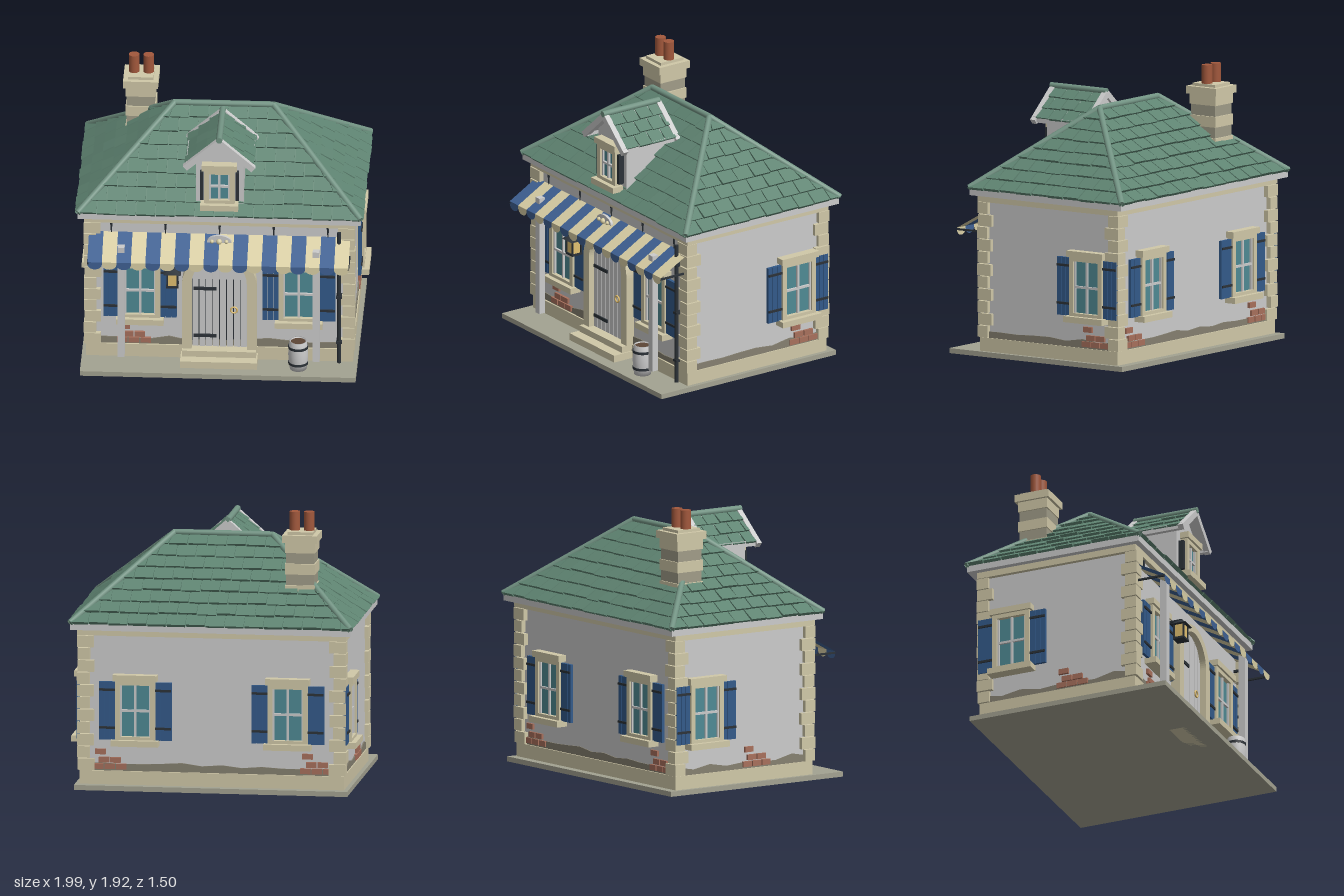
import * as THREE from 'three';
import { ConvexGeometry } from 'three/addons/geometries/ConvexGeometry.js';

const mat = (color, side = THREE.FrontSide) => new THREE.MeshStandardMaterial({ color, side });
const GREY = mat(0xcccccc), STONE = mat(0xd0c8a8), STONE2 = mat(0xa09c88), SLAB = mat(0xa3a291);
const BLUE = mat(0x335a8a), GLASS = mat(0x4f8a94), IRON = mat(0x2c3238), BRICK = mat(0xa8705c);
const TILE = mat(0x5f8472), CAP = mat(0x729383), POT = mat(0xa2583c), MOSS = mat(0x858070);
const GOLD = mat(0xe2c070), WOOD = mat(0x5d4636), CREAM = mat(0xd9cfa5, THREE.DoubleSide);
const AWN_BLUE = mat(0x3f6193, THREE.DoubleSide), AWN_CREAM = CREAM;
TILE.flatShading = true;

const V = (x, y, z) => new THREE.Vector3(x, y, z);
let seed = 7;
const rnd = () => (seed = (seed * 16807) % 2147483647) / 2147483647;

function add(parent, name, geo, m, x = 0, y = 0, z = 0) {
  const mesh = new THREE.Mesh(geo, m);
  mesh.name = name;
  mesh.position.set(x, y, z);
  parent.add(mesh);
  return mesh;
}
const group = (parent, name) => { const g = new THREE.Group(); g.name = name; parent.add(g); return g; };
// box given by its extents
const box = (p, name, m, x0, x1, y0, y1, z0, z1) =>
  add(p, name, new THREE.BoxGeometry(x1 - x0, y1 - y0, z1 - z0), m, (x0 + x1) / 2, (y0 + y1) / 2, (z0 + z1) / 2);
const cyl = (p, name, m, r0, r1, h, x, y, z, n = 20) => add(p, name, new THREE.CylinderGeometry(r0, r1, h, n), m, x, y, z);
function rod(p, name, m, a, b, r) {
  const d = b.clone().sub(a), mid = a.clone().lerp(b, 0.5);
  cyl(p, name, m, r, r, d.length(), mid.x, mid.y, mid.z, 12).quaternion.setFromUnitVectors(V(0, 1, 0), d.normalize());
}
const extrude = (shape, depth) => new THREE.ExtrudeGeometry(shape, { depth, bevelEnabled: false, curveSegments: 20 });

// Overlapping tiles on a planar slope; corners run bottom left, bottom right, top right, top left
function tiles(p, name, A, B, C, D, rows, width, thick) {
  const u = B.clone().sub(A).normalize(), up = D.clone().sub(A);
  const n = u.clone().cross(up).normalize(), v = n.clone().cross(u);
  const len = up.dot(v), uB = B.clone().sub(A).dot(u), uC = C.clone().sub(A).dot(u), uD = up.dot(u), pos = [];
  const at = (s, t, h) => A.clone().addScaledVector(u, s).addScaledVector(v, t).addScaledVector(n, h);
  const quad = (a, b, c, d) => [a, b, c, a, c, d].forEach(q => pos.push(q.x, q.y, q.z));
  for (let r = 0; r < rows; r++) {
    const t0 = r * len / rows, t1 = Math.min(len, t0 + 1.06 * len / rows);
    const clip = (s, t) => Math.min(Math.max(s, uD * t / len), uB + (uC - uB) * t / len);
    for (let s = -(r % 2) * width / 2; s < uB; s += width) {
      const lift = thick * (0.8 + 0.5 * rnd()), e = s + width - 0.008, drop = t0 - 0.008 * rnd();
      const a = clip(s, t0), b = clip(e, t0), c = clip(e, t1), d = clip(s, t1);
      if (b - a < 0.005 && c - d < 0.005) continue;
      const a1 = at(a, drop, lift), b1 = at(b, drop, lift), c1 = at(c, t1, 0.004), d1 = at(d, t1, 0.004);
      const a0 = at(a, drop, 0), b0 = at(b, drop, 0), c0 = at(c, t1, 0), d0 = at(d, t1, 0);
      quad(a1, b1, c1, d1); quad(a0, b0, b1, a1); quad(b0, c0, c1, b1); quad(d0, a0, a1, d1);
    }
  }
  const g = new THREE.BufferGeometry();
  g.setAttribute('position', new THREE.Float32BufferAttribute(pos, 3));
  g.computeVertexNormals();
  add(p, name, g, TILE);
}

// Framed 2 x 2 window facing +z; w and h are half sizes of the glass
function windowUnit(p, x, y, w, h, f) {
  const g = group(p, 'window');
  g.position.set(x, y, 0);
  box(g, 'glass', GLASS, -w, w, -h, h, 0, 0.02);
  for (const s of [-1, 1]) {
    box(g, 'jamb', STONE, s * (w + f / 2) - f / 2, s * (w + f / 2) + f / 2, -h - f, h + f, 0, 0.05);
    box(g, 'rail', STONE, -w, w, s * (h + f / 2) - f / 2, s * (h + f / 2) + f / 2, 0, 0.05);
    box(g, 'sash', GREY, s * (w - 0.005) - 0.005, s * (w - 0.005) + 0.005, -h, h, 0, 0.035);
  }
  box(g, 'mullion', GREY, -0.008, 0.008, -h, h, 0, 0.035);
  box(g, 'crossbar', GREY, -w, w, -0.008, 0.008, 0, 0.035);
  box(g, 'lintel', STONE, -w - f - 0.015, w + f + 0.015, h + f - 0.005, h + f + 0.038, 0, 0.065);
  box(g, 'sill', STONE, -w - f - 0.025, w + f + 0.025, -h - f - 0.03, -h - f + 0.012, 0, 0.085);
  return g;
}
function shutters(g) {
  for (const s of [-1, 1]) {
    for (let i = 0; i < 3; i++) {
      const c = s * (0.158 + i * 0.038);
      box(g, 'shutterPlank', BLUE, c - 0.018, c + 0.018, -0.205, 0.2, 0.012, 0.034);
    }
    for (const y of [-0.12, 0.145]) box(g, 'shutterStrap', IRON, s * 0.195 - 0.055, s * 0.195 + 0.055, y - 0.008, y + 0.008, 0.03, 0.043);
  }
}
// Worn plaster edge along the wall foot
function wornEdge(p, w) {
  const s = new THREE.Shape([new THREE.Vector2(w / 2, 0.12), new THREE.Vector2(-w / 2, 0.12)]);
  const n = Math.round(w / 0.14);
  for (let i = 0; i <= n; i++) s.lineTo(-w / 2 + w * i / n, 0.16 + 0.035 * rnd());
  add(p, 'wornPlaster', extrude(s, 0.008), MOSS);
}
function brickPatch(p, x) {
  [[-0.07, 0.16], [0.01, 0.16], [0.09, 0.16], [-0.03, 0.205], [0.05, 0.205], [-0.055, 0.262]].forEach(([dx, y]) =>
    box(p, 'exposedBrick', BRICK, x + dx - 0.036, x + dx + 0.036, y - 0.019, y + 0.019, 0, 0.018));
}

export function createModel() {
  const root = new THREE.Group();
  root.name = 'cottage';
  const CZ = -0.075;
  box(root, 'groundSlab', SLAB, -0.95, 0.95, 0, 0.035, -0.72, 0.75);
  box(root, 'plinth', STONE, -0.92, 0.92, 0.035, 0.13, -0.66, 0.51);
  box(root, 'walls', GREY, -0.905, 0.905, 0.13, 1.13, -0.64, 0.49);
  box(root, 'cornice', STONE, -0.935, 0.935, 1.075, 1.13, -0.67, 0.52);
  box(root, 'fascia', GREY, -0.975, 0.975, 1.12, 1.168, -0.73, 0.56);

  // Corner stones
  for (const sx of [-1, 1]) for (const sz of [-1, 1]) for (let i = 0; i < 11; i++) {
    const k = i % 2, lx = k ? 0.085 : 0.115, lz = k ? 0.115 : 0.085, o = 0.006 * rnd(), h = 0.945 / 11;
    const x = sx * (0.93 + o - lx / 2), z = CZ + sz * (0.595 + o - lz / 2), y = 0.13 + i * h;
    box(root, 'quoin', STONE, x - lx / 2, x + lx / 2, y + 0.003, y + h - 0.003, z - lz / 2, z + lz / 2);
  }

  // Wall faces: [name, turn, distance, width, window positions, brick positions]
  [['frontWall', 0, 0.565, 1.8, [-0.547, 0.547], [-0.6]],
    ['rightWall', Math.PI / 2, 0.905, 1.12, [0.335], [0.385]],
    ['backWall', Math.PI, 0.565, 1.8, [-0.53, 0.53], [-0.72, 0.72]],
    ['leftWall', -Math.PI / 2, 0.905, 1.12, [-0.335], [0.1]]].forEach(([name, turn, dist, w, wins, bricks]) => {
    const g = group(root, name);
    g.rotation.y = turn;
    g.position.set(Math.sin(turn) * dist, 0, CZ + Math.cos(turn) * dist);
    wornEdge(g, w);
    bricks.forEach(x => brickPatch(g, x));
    wins.forEach(x => shutters(windowUnit(g, x, 0.555, 0.105, 0.18, 0.034)));
  });

  // Hipped roof
  const roof = group(root, 'roof'), RZ = -0.085, E = 1.165;
  const fl = V(-0.975, E, 0.565), fr = V(0.975, E, 0.565), br = V(0.975, E, -0.735), bl = V(-0.975, E, -0.735);
  const rl = V(-0.34, 1.7, RZ), rr = V(0.34, 1.7, RZ);
  add(roof, 'roofBody', new ConvexGeometry([fl, fr, br, bl, rl, rr]), TILE);
  tiles(roof, 'frontTiles', fl, fr, rr, rl, 8, 0.135, 0.02);
  tiles(roof, 'backTiles', br, bl, rl, rr, 8, 0.135, 0.02);
  tiles(roof, 'rightTiles', fr, br, rr, rr, 8, 0.135, 0.02);
  tiles(roof, 'leftTiles', bl, fl, rl, rl, 8, 0.135, 0.02);
  [[rl, rr], [fl, rl], [bl, rl], [fr, rr], [br, rr]].forEach(([a, b]) =>
    rod(roof, 'ridgeCap', CAP, a.clone().setY(a.y + 0.006), b.clone().setY(b.y + 0.006), 0.022));

  // Dormer
  const dormer = group(root, 'dormer');
  const body = new THREE.Shape([[-0.165, 1.2], [0.165, 1.2], [0.165, 1.59], [0, 1.735], [-0.165, 1.59]].map(q => new THREE.Vector2(...q)));
  add(dormer, 'dormerBody', extrude(body, 0.38), GREY, 0, 0, 0.11);
  for (const s of [-1, 1]) {
    const eF = V(s * 0.225, 1.56, 0.535), eB = V(s * 0.225, 1.56, 0.12), tF = V(0, 1.755, 0.535), tB = V(0, 1.755, 0.12);
    const deck = [eF, eB, tF, tB];
    add(dormer, 'dormerDeck', new ConvexGeometry([...deck, ...deck.map(q => V(q.x, q.y - 0.02, q.z))]), GREY);
    if (s > 0) tiles(dormer, 'dormerTiles', eF, eB, tB, tF, 3, 0.11, 0.016);
    else tiles(dormer, 'dormerTiles', eB, eF, tF, tB, 3, 0.11, 0.016);
    for (const z of [0.553, 0.11]) {
      const barge = add(dormer, 'bargeBoard', new THREE.BoxGeometry(0.315, 0.042, 0.04), GREY, s * 0.118, 1.643, z);
      barge.rotation.z = -s * 0.72;
    }
    box(dormer, 'eaveBoard', GREY, s * 0.215 - 0.015, s * 0.215 + 0.015, 1.535, 1.575, 0.1, 0.56);
    box(dormer, 'dormerSideStrip', IRON, s * 0.122 - 0.012, s * 0.122 + 0.012, 1.275, 1.49, 0.49, 0.53);
  }
  rod(dormer, 'dormerRidge', CAP, V(0, 1.763, 0.1), V(0, 1.763, 0.575), 0.022);
  windowUnit(dormer, 0, 1.383, 0.07, 0.1, 0.036).position.z = 0.495;

  // Chimney
  const chimney = group(root, 'chimney');
  chimney.position.set(-0.585, 0, -0.363);
  for (let i = 0; i < 7; i++) {
    const r = i % 2 ? 0.097 : 0.104, y = 1.2 + i * 0.075;
    box(chimney, 'chimneyCourse', i % 2 ? STONE2 : STONE, -r, r, y, y + 0.074, -r - 0.005, r + 0.005);
  }
  box(chimney, 'chimneyCap', STONE, -0.121, 0.121, 1.722, 1.775, -0.127, 0.127);
  box(chimney, 'chimneyTop', STONE, -0.088, 0.088, 1.775, 1.795, -0.095, 0.095);
  for (const s of [-1, 1]) cyl(chimney, 'chimneyPot', POT, 0.037, 0.037, 0.14, s * 0.05, 1.855, 0);

  // Door with arched surround and steps
  const door = group(root, 'door');
  const arch = new THREE.Shape();
  arch.moveTo(0.257, 0.1).lineTo(0.257, 0.625).absarc(0, 0.625, 0.257, 0, Math.PI, false).lineTo(-0.257, 0.1);
  arch.lineTo(-0.19, 0.1).lineTo(-0.19, 0.64).absarc(0, 0.64, 0.19, Math.PI, 0, true).lineTo(0.19, 0.1);
  add(door, 'doorSurround', extrude(arch, 0.07), STONE, 0, 0, 0.485);
  box(door, 'doorBacking', IRON, -0.19, 0.19, 0.13, 0.64, 0.485, 0.494);
  const top = x => 0.64 + Math.sqrt(Math.max(0, 0.19 ** 2 - x * x));
  for (let i = 0; i < 8; i++) {
    const a = -0.19 + i * 0.0475 + 0.003, b = a + 0.0415;
    const plank = new THREE.Shape([[a, 0.13], [b, 0.13], [b, top(b)], [a, top(a)]].map(q => new THREE.Vector2(...q)));
    add(door, 'doorPlank', extrude(plank, 0.025), GREY, 0, 0, 0.488);
  }
  for (const y of [0.215, 0.58]) box(door, 'hingeStrap', IRON, -0.18, -0.02, y - 0.011, y + 0.011, 0.51, 0.523);
  add(door, 'handleRing', new THREE.TorusGeometry(0.022, 0.006, 8, 20), GOLD, 0.1, 0.42, 0.522);
  box(door, 'lowerStep', STONE, -0.265, 0.265, 0.0, 0.085, 0.48, 0.665);
  box(door, 'upperStep', STONE, -0.255, 0.255, 0.085, 0.13, 0.48, 0.59);

  // Striped awning with scalloped edge, posts and brackets
  const awning = group(root, 'awning');
  const slope = Math.hypot(0.225, 0.125), tilt = Math.atan2(0.225, 0.125);
  for (let i = 0; i < 18; i++) {
    const x = -0.85 + i * 0.1, m = i % 2 ? AWN_CREAM : AWN_BLUE;
    add(awning, 'awningStripe', new THREE.PlaneGeometry(0.1, slope), m, x, 0.9325, 0.6075).rotation.x = -tilt;
    const flap = new THREE.Shape();
    flap.moveTo(-0.05, 0.87).lineTo(-0.05, 0.855).absellipse(0, 0.855, 0.05, 0.04, Math.PI, 2 * Math.PI, false).lineTo(0.05, 0.87);
    add(awning, 'awningScallop', new THREE.ShapeGeometry(flap, 12), m, x, 0, 0.72);
  }
  for (const s of [-1, 1]) {
    box(awning, 'awningArm', IRON, s * 0.897 - 0.006, s * 0.897 + 0.006, 0.853, 0.866, 0.49, 0.72);
    box(awning, 'awningPost', GREY, s * 0.672 - 0.024, s * 0.672 + 0.024, 0.1, 0.95, 0.6, 0.648);
  }
  for (let i = -2; i <= 2; i++) cyl(awning, 'wallSpike', IRON, 0.01, 0.003, 0.085, i * 0.373, 1.037, 0.5, 8);
  const fan = add(awning, 'crestArch', new THREE.CylinderGeometry(0.085, 0.085, 0.02, 24, 1, false, Math.PI / 2, Math.PI), GREY, 0, 0.965, 0.555);
  fan.rotation.x = Math.PI / 2;
  fan.scale.z = 0.62;
  [[-0.05, 0.014], [0, 0.02], [0.05, 0.014]].forEach(([x, r]) => add(awning, 'crestBead', new THREE.SphereGeometry(r, 14, 10), CREAM, x, 0.975, 0.57));

  // Lantern
  const lantern = group(root, 'lantern');
  lantern.position.set(-0.32, 0, 0.59);
  box(lantern, 'lampGlass', GOLD, -0.033, 0.033, 0.65, 0.745, -0.033, 0.033);
  box(lantern, 'lampBase', IRON, -0.042, 0.042, 0.635, 0.65, -0.042, 0.042);
  for (const a of [-1, 1]) for (const b of [-1, 1]) box(lantern, 'lampCorner', IRON, a * 0.035 - 0.005, a * 0.035 + 0.005, 0.64, 0.75, b * 0.035 - 0.005, b * 0.035 + 0.005);
  cyl(lantern, 'lampRoof', IRON, 0.008, 0.085, 0.045, 0, 0.767, 0, 4).rotation.y = Math.PI / 4;
  box(lantern, 'lampBracket', IRON, -0.007, 0.007, 0.78, 0.795, -0.1, 0.01);

  // Drainpipe
  cyl(root, 'drainpipe', IRON, 0.014, 0.014, 1.01, 0.825, 0.545, 0.535, 12);
  for (const y of [0.2, 0.55, 0.9]) box(root, 'pipeClip', IRON, 0.805, 0.845, y - 0.008, y + 0.008, 0.49, 0.55);

  // Barrel
  const barrel = group(root, 'barrel');
  barrel.position.set(0.548, 0, 0.625);
  const stave = [[0, 0.036], [0.058, 0.036], [0.066, 0.09], [0.069, 0.145], [0.066, 0.2], [0.06, 0.25], [0.052, 0.25], [0.052, 0.238]];
  add(barrel, 'barrelBody', new THREE.LatheGeometry(stave.map(q => new THREE.Vector2(...q)), 24), GREY);
  cyl(barrel, 'barrelLid', WOOD, 0.053, 0.053, 0.01, 0, 0.238, 0);
  for (const y of [0.085, 0.205]) cyl(barrel, 'barrelHoop', IRON, 0.069, 0.069, 0.018, 0, y, 0, 24);
  return root;
}
